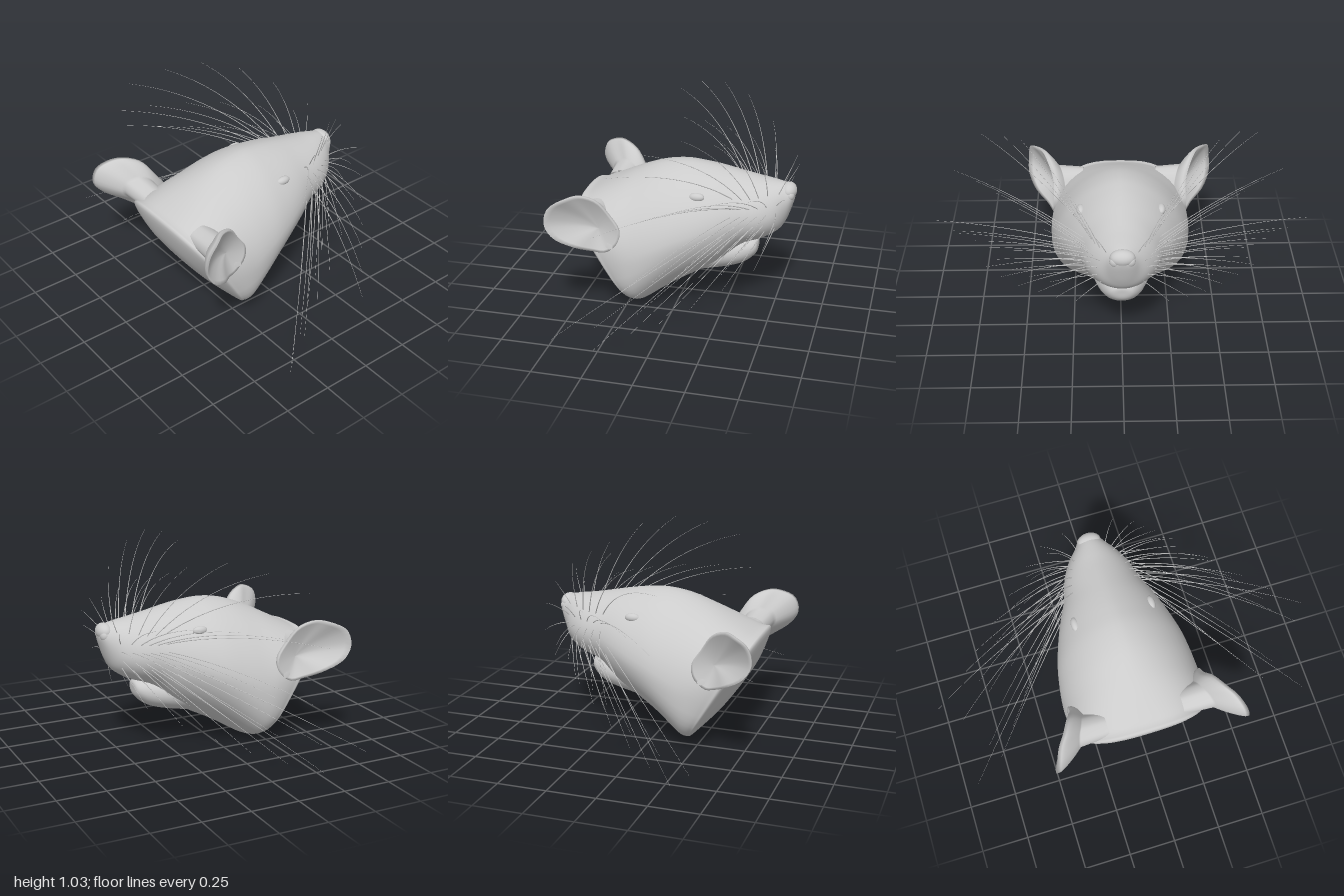
import * as THREE from 'three';

const skin = new THREE.MeshStandardMaterial({ color: 0xcccccc, roughness: 0.8, side: THREE.DoubleSide });

// Smooth closed skin over a list of rings, each an array of Vector3
function skinRings(rings) {
  const n = rings[0].length, pos = [], idx = [];
  rings.forEach(r => r.forEach(p => pos.push(p.x, p.y, p.z)));
  for (let i = 0; i < rings.length - 1; i++) {
    for (let j = 0; j < n; j++) {
      const a = i * n + j, b = i * n + (j + 1) % n;
      idx.push(a, b, a + n, b, b + n, a + n);
    }
  }
  const g = new THREE.BufferGeometry();
  g.setAttribute('position', new THREE.Float32BufferAttribute(pos, 3));
  g.setIndex(idx);
  g.computeVertexNormals();
  return g;
}

function catmull(a, b, c, d, t) {
  const v0 = (c - a) / 2, v1 = (d - b) / 2;
  return (2 * b - 2 * c + v0 + v1) * t ** 3 + (-3 * b + 3 * c - 2 * v0 - v1) * t * t + v0 * t + b;
}

// Section: [topZ, topY, bottomZ, bottomY, halfWidth, widestHeight, upperPower, lowerPower]
function loft(sections, steps = 5, n = 48) {
  const rings = [], last = sections.length - 1;
  const at = i => sections[Math.min(last, Math.max(0, i))];
  for (let k = 0; k <= last * steps; k++) {
    const i = Math.min(last - 1, Math.floor(k / steps)), t = k / steps - i;
    const [tz, ty, bz, by, w, m, pu, pl] = at(i).map((v, q) => catmull(at(i - 1)[q], v, at(i + 1)[q], at(i + 2)[q], t));
    const ring = [];
    for (let j = 0; j < n; j++) {
      const a = j / n * Math.PI * 2, c = Math.cos(a), s = Math.sin(a), e = 2 / (s > 0 ? pu : pl);
      const v = m + Math.sign(s) * Math.abs(s) ** e * (s > 0 ? 1 - m : m);
      const x = Math.max(0, w) * Math.sign(c) * Math.abs(c) ** e;
      ring.push(new THREE.Vector3(x, by + (ty - by) * v, bz + (tz - bz) * v));
    }
    rings.push(ring);
  }
  return skinRings(rings);
}

const mesh = (name, geometry) => {
  const m = new THREE.Mesh(geometry, skin);
  m.name = name;
  return m;
};

function ball(name, p, r) {
  const m = mesh(name, new THREE.SphereGeometry(1, 24, 16));
  m.position.set(...p);
  m.scale.set(...r);
  return m;
}

// Cupped ear: bowl from the centre out to the rim, then the back down to the root
function earGeometry() {
  const rim = new THREE.CatmullRomCurve3([
    [.43, .68, .44], [.39, .645, .36], [.36, .56, .30], [.36, .48, .25], [.365, .41, .26], [.37, .36, .32],
    [.40, .375, .38], [.47, .42, .46], [.51, .48, .55], [.51, .55, .59], [.50, .63, .57], [.47, .67, .50],
  ].map(p => new THREE.Vector3(...p)), true).getPoints(40).slice(0, -1);
  const centre = new THREE.Vector3(.345, .48, .36);
  const ring = (s, x) => rim.map(p => {
    const q = centre.clone().lerp(p, s);
    q.x = x(p);
    return q;
  });
  const bowl = s => p => centre.x + (p.x - centre.x) * s ** 1.6;
  const rings = [];
  for (let k = 0; k <= 10; k++) rings.push(ring(k / 10, bowl(k / 10)));
  for (let k = 0; k <= 8; k++) {
    const s = 0.99 - k * 0.055;
    rings.push(ring(s, p => bowl(s)(p) - .012 - .06 * Math.sqrt(1 - s)));
  }
  rings.push(ring(.5, () => .2));
  return skinRings(rings);
}

// Whisker: a bowed tube that thins to its tip
function whiskerGeometry(root, tip, lift) {
  const mid = root.clone().lerp(tip, .5);
  mid.y += lift;
  mid.z -= lift * .5;
  const curve = new THREE.QuadraticBezierCurve3(root, mid, tip), n = 12;
  const g = new THREE.TubeGeometry(curve, n, .0026, 4), pos = g.attributes.position, v = new THREE.Vector3();
  for (let i = 0; i < pos.count; i++) {
    const t = Math.floor(i / 5) / n;
    v.fromBufferAttribute(pos, i).lerp(curve.getPointAt(t), t * .85);
    pos.setXYZ(i, v.x, v.y, v.z);
  }
  return g;
}

export function createModel() {
  const model = new THREE.Group();
  model.name = 'animalHead';

  // Skull from nose tip to the slanted, closed neck
  model.add(mesh('head', loft([
    [-.588, .63, -.588, .63, 0, .5, 2, 2],
    [-.572, .665, -.578, .58, .05, .5, 2, 2],
    [-.53, .68, -.548, .49, .085, .5, 2, 2],
    [-.47, .69, -.51, .43, .135, .45, 2, 2],
    [-.40, .70, -.43, .38, .18, .45, 1.9, 2],
    [-.30, .72, -.32, .335, .215, .45, 1.8, 2],
    [-.20, .74, -.22, .23, .265, .48, 1.75, 1.8],
    [-.10, .755, -.11, .165, .31, .46, 1.7, 1.8],
    [0, .76, 0, .11, .345, .44, 1.7, 2],
    [.12, .74, .08, .065, .365, .42, 1.75, 2.3],
    [.25, .69, .13, .035, .375, .42, 1.9, 2.6],
    [.37, .63, .16, .025, .375, .45, 2.2, 3],
    [.48, .575, .185, .025, .36, .46, 2.6, 3.2],
    [.525, .55, .21, .04, .335, .47, 2.9, 3.2],
    [.483, .40, .317, .147, .18, .5, 2.6, 2.6],
    [.407, .268, .407, .268, 0, .5, 2, 2],
  ])));

  // Lower jaw tucked beneath the snout
  model.add(mesh('lowerJaw', loft([
    [-.402, .32, -.402, .32, 0, .5, 2, 2],
    [-.398, .355, -.392, .275, .055, .5, 2, 2],
    [-.35, .37, -.335, .225, .095, .5, 2.2, 2],
    [-.25, .38, -.25, .195, .13, .5, 2, 2],
    [-.10, .40, -.10, .165, .17, .5, 2, 2],
  ], 5, 32)));

  model.add(ball('nose', [0, .64, -.55], [.062, .042, .042]));

  // Whisker rows, top to bottom: [rootY, back tip xyz, front tip xyz]
  const rows = [
    [.62, [.72, .91, .20], [.14, .78, -.57]],
    [.585, [.88, .68, .22], [.26, .69, -.57]],
    [.55, [1.0, .47, .06], [.36, .58, -.53]],
    [.51, [.92, .15, .42], [.36, .45, -.48]],
    [.47, [.77, .01, .28], [.24, .28, -.42]],
  ];
  const perRow = 6, ear = earGeometry();
  for (const side of [1, -1]) {
    const half = new THREE.Group();
    half.name = side > 0 ? 'leftSide' : 'rightSide';
    half.scale.x = side;
    half.add(mesh('ear', ear));
    half.add(ball('eyelid', [.205, .64, -.115], [.022, .022, .04]));
    half.add(ball('nostrilWing', [.034, .625, -.558], [.03, .03, .026]));
    rows.forEach(([y, back, front], r) => {
      for (let c = 0; c < perRow; c++) {
        const t = c / (perRow - 1);
        const root = new THREE.Vector3(.185 - .085 * t * t - .03 * (r === 0), y, -.30 - .2 * t);
        const tip = new THREE.Vector3(...back).lerp(new THREE.Vector3(...front), t);
        tip.y += [.19, .05, -.02, -.06, -.04][r] * Math.sin(Math.PI * t);
        half.add(mesh('whisker', whiskerGeometry(root, tip, (.11 - .02 * r) * (1 - .7 * t))));
      }
    });
    model.add(half);
  }
  return model;
}
